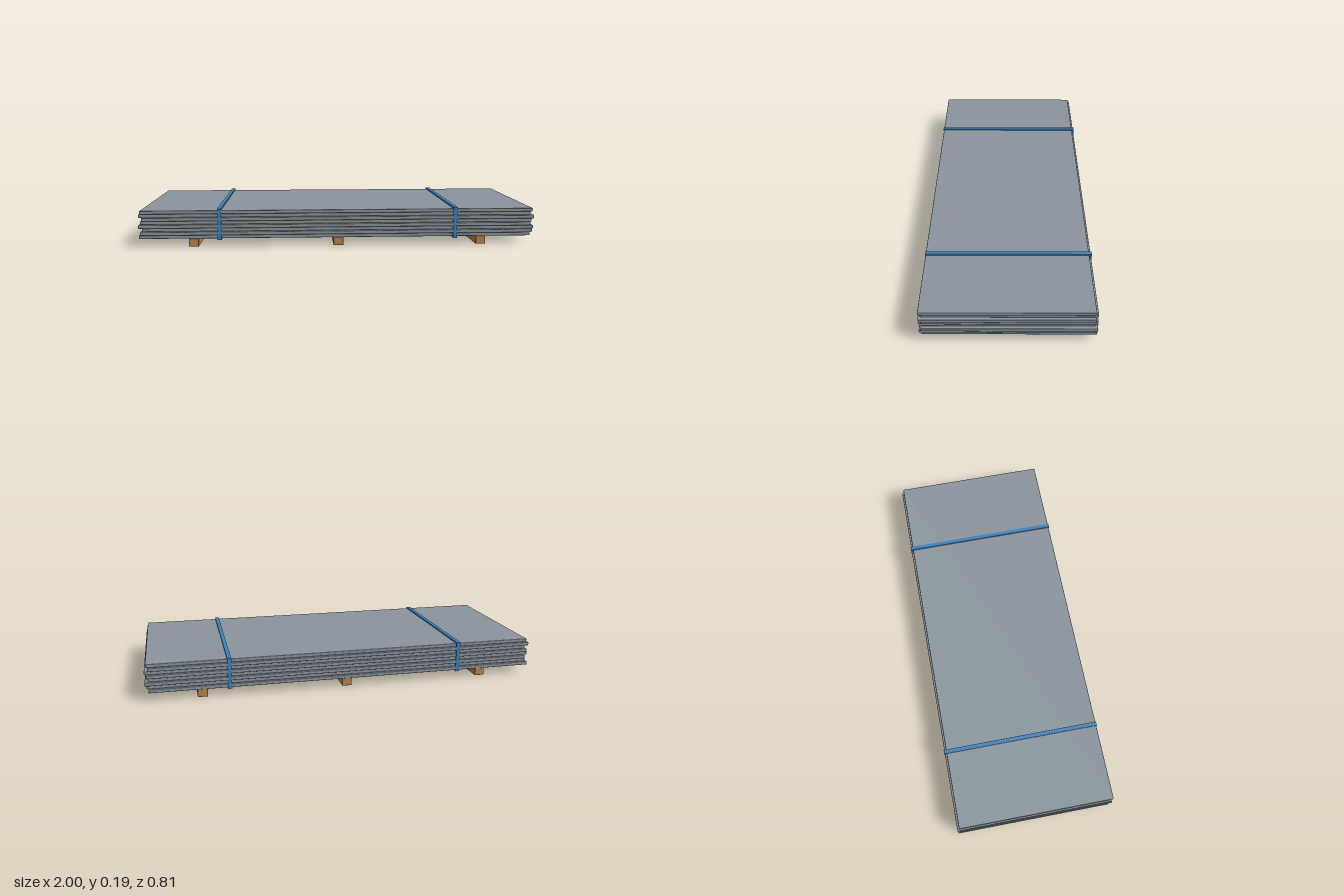
import * as THREE from 'three';
import { RoundedBoxGeometry } from 'three/addons/geometries/RoundedBoxGeometry.js';

function material(name, color) {
  const m = new THREE.MeshStandardMaterial({ color });
  m.name = name;
  return m;
}

export function createModel() {
  const model = new THREE.Group();
  model.name = 'strappedSheetStack';
  const steel = material('sheet grey', 0x8b959d);
  const wood = material('timber brown', 0xb9844a);
  const blue = material('strap blue', 0x3f82bb);

  const add = (name, geometry, mat, x, y, z) => {
    const mesh = new THREE.Mesh(geometry, mat);
    mesh.name = name;
    mesh.position.set(x, y, z);
    model.add(mesh);
  };

  // Timber bearers under the stack
  const bearer = new RoundedBoxGeometry(0.05, 0.041, 0.794, 2, 0.003);
  [-0.728, 0, 0.728].forEach((x, i) => add(`bearer${i + 1}`, bearer, wood, x, 0.0205, 0));

  // Loosely stacked sheets, each shifted a little
  const pitch = 0.018;
  const sheet = new RoundedBoxGeometry(1.984, 0.0176, 0.794, 2, 0.003);
  for (let i = 0; i < 8; i++) {
    const dx = ((i % 3) - 1) * 0.008;
    const dz = i % 2 ? 0.005 : -0.005;
    add(`sheet${i + 1}`, sheet, steel, dx, 0.0405 + pitch * (i + 0.5), dz);
  }

  // Closed strap loops around the stack
  const rect = (path, z, y0, y1) => path.moveTo(-z, y0).lineTo(z, y0).lineTo(z, y1).lineTo(-z, y1).closePath();
  const loop = new THREE.Shape();
  rect(loop, 0.404, 0.034, 0.192);
  const hole = new THREE.Path();
  rect(hole, 0.395, 0.042, 0.183);
  loop.holes.push(hole);
  const strap = new THREE.ExtrudeGeometry(loop, { depth: 0.02, bevelEnabled: false });
  strap.translate(0, 0, -0.01).rotateY(Math.PI / 2);
  add('leftStrap', strap, blue, 0.594, 0, 0);
  add('rightStrap', strap, blue, -0.598, 0, 0);

  return model;
}
